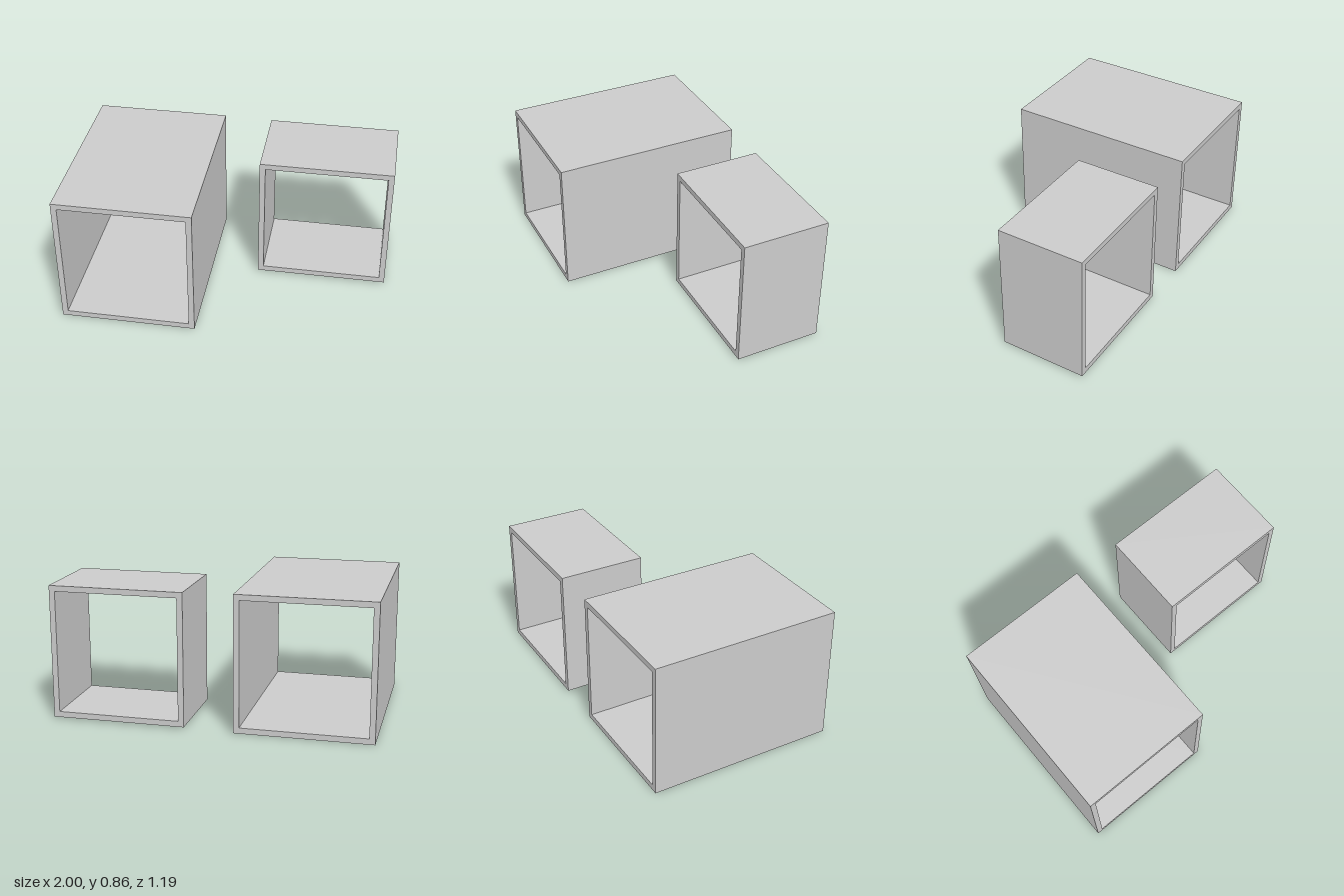
import * as THREE from 'three';

const material = new THREE.MeshStandardMaterial({ color: 0xcccccc, flatShading: true });

// Adds a rectangle outline to a shape or hole path
function rectangle(path, x0, y0, x1, y1) {
  path.moveTo(x0, y0);
  path.lineTo(x1, y0);
  path.lineTo(x1, y1);
  path.lineTo(x0, y1);
  path.closePath();
  return path;
}

// Square tube, open at front and back
function openBox(name, [x0, x1], [y0, y1], [z0, z1], wall) {
  const shape = rectangle(new THREE.Shape(), x0, y0, x1, y1);
  shape.holes.push(rectangle(new THREE.Path(), x0 + wall, y0 + wall, x1 - wall, y1 - wall));
  const geometry = new THREE.ExtrudeGeometry(shape, { depth: z1 - z0, bevelEnabled: false });
  geometry.translate(0, 0, z0);
  const mesh = new THREE.Mesh(geometry, material);
  mesh.name = name;
  return mesh;
}

export function createModel() {
  const model = new THREE.Group();
  model.name = 'openBoxes';
  model.add(
    openBox('deepBox', [-1, -0.148], [0, 0.855], [-0.597, 0.597], 0.036),
    openBox('shallowBox', [0.16, 1], [0.01, 0.848], [-0.597, -0.046], 0.036)
  );
  return model;
}
